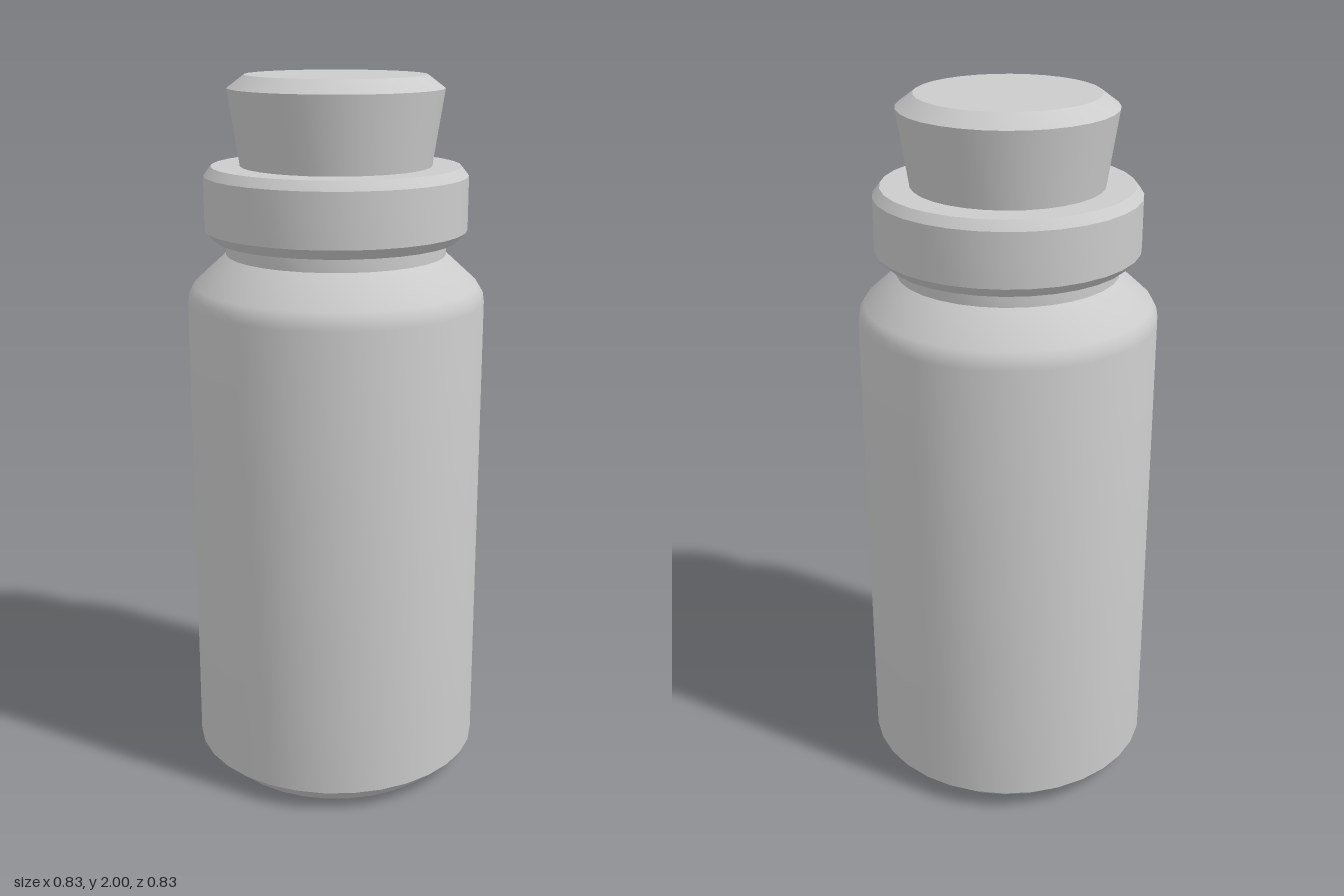
import * as THREE from 'three';
import { toCreasedNormals } from 'three/addons/utils/BufferGeometryUtils.js';

const SIDES = 32;

// Turned part from a [radius, height] profile, listed from bottom to top.
function turned(name, profile) {
  const points = profile.map(([r, y]) => new THREE.Vector2(r, y));
  const geometry = toCreasedNormals(new THREE.LatheGeometry(points, SIDES), 0.45);
  const mesh = new THREE.Mesh(geometry, new THREE.MeshStandardMaterial({ color: 0xcccccc }));
  mesh.name = name;
  return mesh;
}

export function createModel() {
  const model = new THREE.Group();
  model.name = 'corkedBottle';

  model.add(turned('bottle', [
    // recessed base and foot ring
    [0, 0.03], [0.275, 0.03], [0.31, 0], [0.345, 0], [0.413, 0.06],
    // straight wall and rounded shoulder
    [0.413, 1.39], [0.409, 1.415], [0.396, 1.437], [0.305, 1.52],
    // neck
    [0.305, 1.555],
    // bevelled lip
    [0.335, 1.56], [0.362, 1.588], [0.362, 1.735], [0.342, 1.76],
    // mouth, plugged by the stopper
    [0.255, 1.76], [0.235, 1.58], [0, 1.58],
  ]));

  // tapered cork with a bevelled top
  model.add(turned('stopper', [
    [0, 1.6], [0.238, 1.6], [0.262, 1.76], [0.294, 1.965], [0.247, 2], [0, 2],
  ]));

  return model;
}
